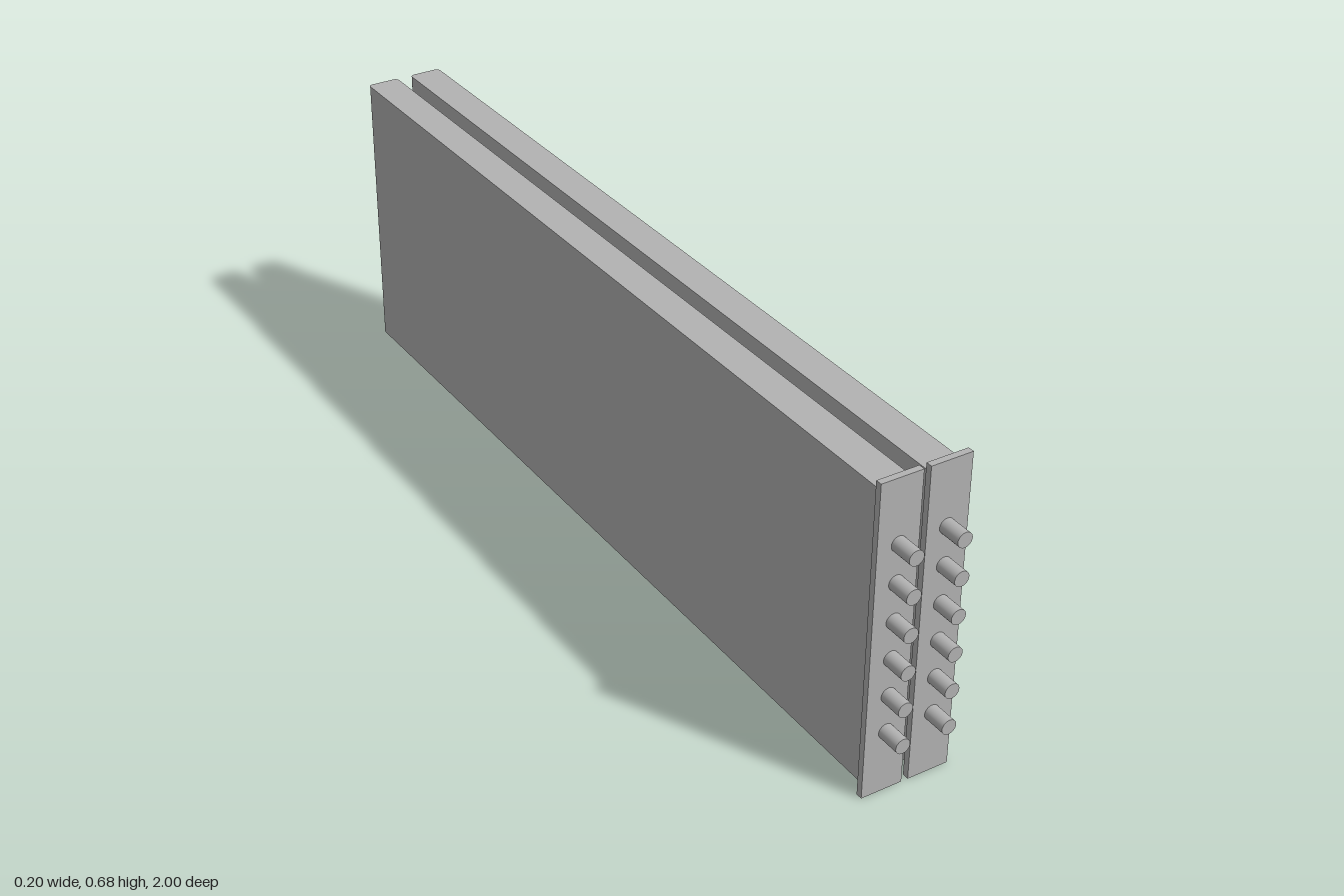
import * as THREE from 'three';
import { toCreasedNormals } from 'three/addons/utils/BufferGeometryUtils.js';

const steel = new THREE.MeshStandardMaterial({ color: 0xb2b2b2 });
steel.name = 'grey steel';

const CENTRE_X = 0.0525;

function part(name, geometry, x, y, z) {
  const mesh = new THREE.Mesh(geometry, steel);
  mesh.name = name;
  mesh.position.set(x, y, z);
  return mesh;
}

// Upright slab whose four vertical edges are rounded
function slabGeometry(width, height, depth, r) {
  const w = width / 2, d = depth / 2;
  const s = new THREE.Shape();
  s.moveTo(-w + r, -d);
  s.lineTo(w - r, -d);
  s.absarc(w - r, -d + r, r, -Math.PI / 2, 0);
  s.lineTo(w, d - r);
  s.absarc(w - r, d - r, r, 0, Math.PI / 2);
  s.lineTo(-w + r, d);
  s.absarc(-w + r, d - r, r, Math.PI / 2, Math.PI);
  s.lineTo(-w, -d + r);
  s.absarc(-w + r, -d + r, r, Math.PI, Math.PI * 1.5);
  const g = new THREE.ExtrudeGeometry(s, { depth: height, bevelEnabled: false, curveSegments: 5 });
  g.rotateX(-Math.PI / 2);
  return toCreasedNormals(g, 0.5);
}

export function createModel() {
  const model = new THREE.Group();
  model.name = 'pairedPanels';

  const slab = slabGeometry(0.072, 0.638, 1.935, 0.01);
  const plate = new THREE.BoxGeometry(0.09, 0.682, 0.014);
  const pin = new THREE.CylinderGeometry(0.016, 0.016, 0.052, 32).rotateX(Math.PI / 2);

  for (const side of [-1, 1]) {
    const unit = new THREE.Group();
    unit.name = side > 0 ? 'leftPanel' : 'rightPanel';
    unit.position.x = side * CENTRE_X;
    unit.add(part('slab', slab, 0, 0.022, -0.0325));
    unit.add(part('frontPlate', plate, 0, 0.341, 0.942));
    // Column of six pins on the front plate
    for (let i = 0; i < 6; i++) {
      unit.add(part('pin', pin, -side * 0.001, 0.137 + i * 0.0816, 0.974));
    }
    model.add(unit);
  }
  return model;
}
